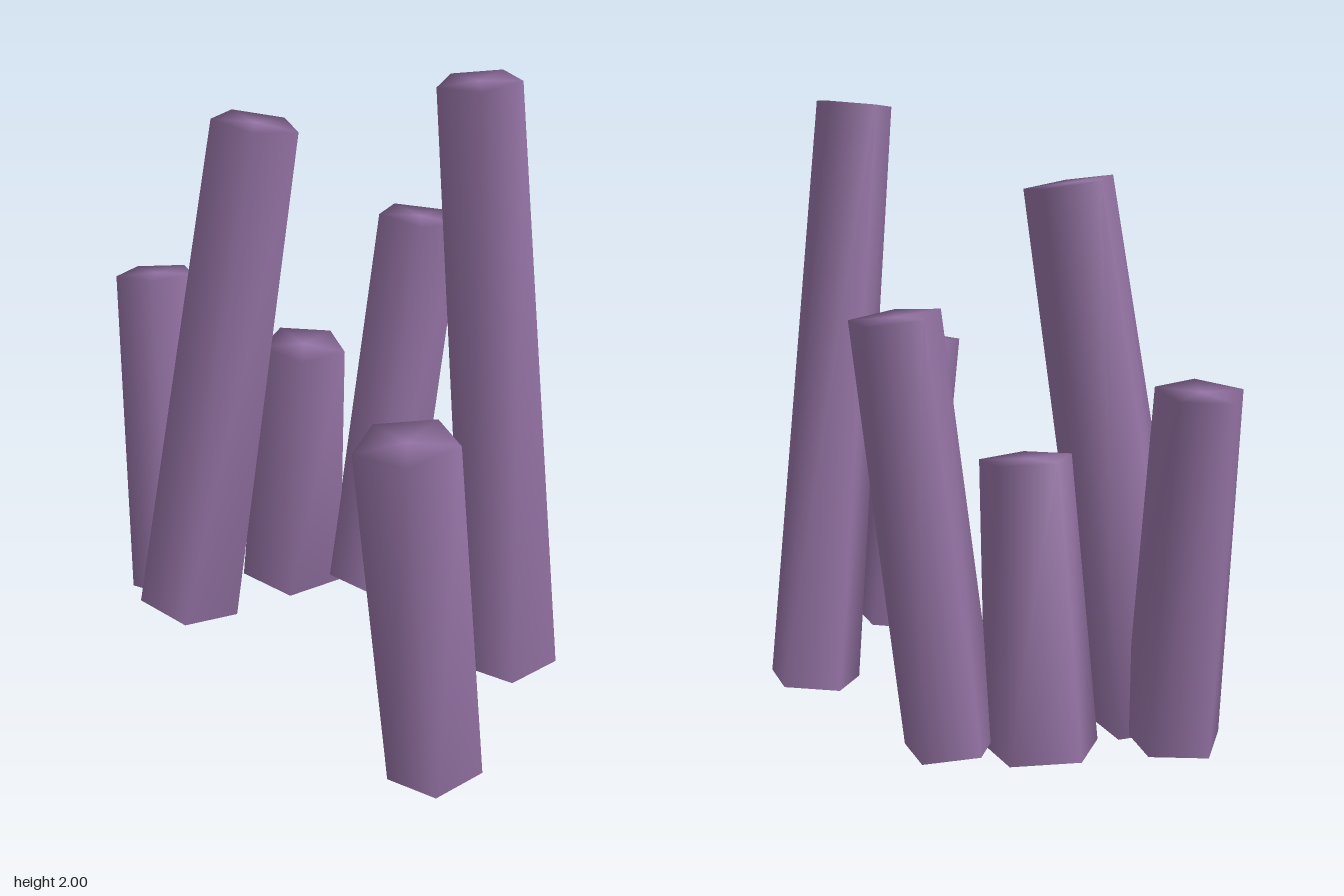
import * as THREE from 'three';
import { mergeVertices } from 'three/addons/utils/BufferGeometryUtils.js';

// Each column: base centre, base radius, top centre, top radius
const COLUMNS = [
  { name: 'tallFrontColumn', base: [0.30, 0.035, 0.445], rb: 0.16, top: [0.11, 1.99, 0.44], rt: 0.13 },
  { name: 'tallBackColumn', base: [-0.375, 0.033, -0.505], rb: 0.18, top: [-0.17, 1.765, -0.325], rt: 0.147 },
  { name: 'leftColumn', base: [0.26, 0.033, -0.295], rb: 0.155, top: [0.405, 1.39, -0.21], rt: 0.147 },
  { name: 'rearColumn', base: [-0.338, 0.03, -0.67], rb: 0.16, top: [-0.305, 1.17, -0.78], rt: 0.14 },
  { name: 'shortCentreColumn', base: [0.052, 0.033, -0.493], rb: 0.186, top: [0.052, 0.945, -0.40], rt: 0.15 },
  { name: 'frontRightColumn', base: [-0.287, 0.03, 0.795], rb: 0.149, top: [-0.40, 1.115, 0.787], rt: 0.157 },
];

// Leaning five-sided prism with normals shared across sides and caps
function makeColumn({ name, base, rb, top, rt }, material) {
  const a = new THREE.Vector3(...base);
  const b = new THREE.Vector3(...top);
  const axis = b.clone().sub(a);
  let geometry = new THREE.CylinderGeometry(rt, rb, axis.length(), 5, 1, false, Math.PI);
  geometry.deleteAttribute('uv');
  geometry.deleteAttribute('normal');
  geometry = mergeVertices(geometry, 1e-4);
  geometry.computeVertexNormals();

  const mesh = new THREE.Mesh(geometry, material);
  mesh.name = name;
  mesh.position.copy(a).lerp(b, 0.5);
  mesh.quaternion.setFromUnitVectors(new THREE.Vector3(0, 1, 0), axis.normalize());
  return mesh;
}

export function createModel() {
  const group = new THREE.Group();
  group.name = 'crystalColumns';
  const purple = new THREE.MeshStandardMaterial({ color: 0x9674a6 });
  purple.name = 'dusty purple';
  for (const column of COLUMNS) group.add(makeColumn(column, purple));
  return group;
}
